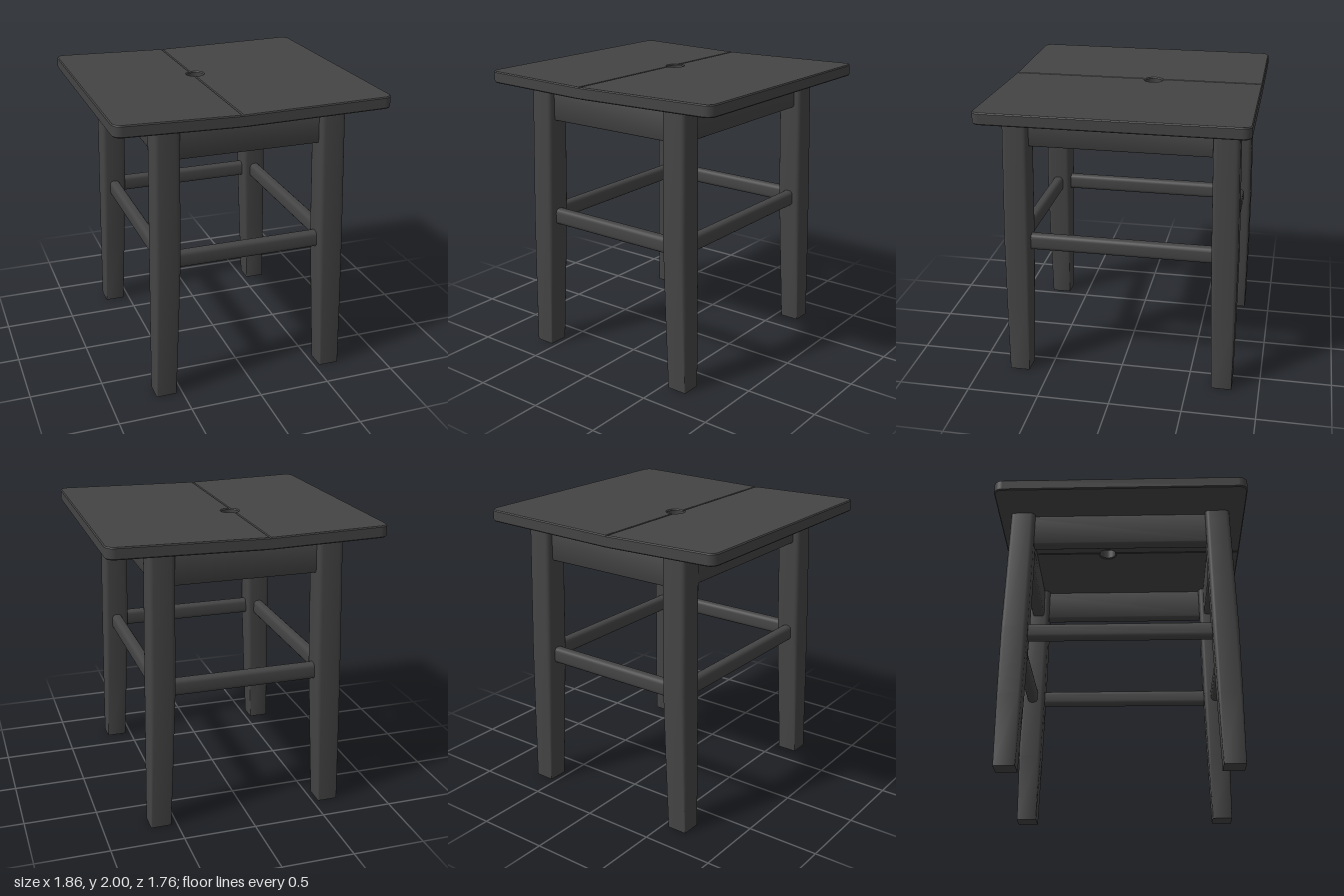
import * as THREE from 'three';
import { toCreasedNormals } from 'three/addons/utils/BufferGeometryUtils.js';

const material = new THREE.MeshStandardMaterial({ color: 0x444444 });
const FRAME_Z = -0.011; // the frame sits slightly behind the seat centre

// Loft rounded rectangles along y; each section is [y, x0, x1, z0, z1, radius].
function loft(sections) {
  const positions = [], index = [], steps = 4, n = 4 * (steps + 1);
  for (const [y, x0, x1, z0, z1, r] of sections) {
    const corners = [[x1 - r, z1 - r], [x0 + r, z1 - r], [x0 + r, z0 + r], [x1 - r, z0 + r]];
    corners.forEach(([cx, cz], k) => {
      for (let i = 0; i <= steps; i++) {
        const a = (k + i / steps) * Math.PI / 2;
        positions.push(cx + r * Math.cos(a), y, cz + r * Math.sin(a));
      }
    });
  }
  const last = (sections.length - 1) * n;
  for (let s = 0; s < last; s += n) {
    for (let j = 0; j < n; j++) {
      const a = s + j, b = s + (j + 1) % n;
      index.push(a, a + n, b, b, a + n, b + n);
    }
  }
  for (let j = 1; j < n - 1; j++) {
    index.push(0, j, j + 1, last, last + j + 1, last + j);
  }
  const geometry = new THREE.BufferGeometry();
  geometry.setAttribute('position', new THREE.Float32BufferAttribute(positions, 3));
  geometry.setIndex(index);
  return toCreasedNormals(geometry, 0.6);
}

function addMesh(parent, name, geometry) {
  const mesh = new THREE.Mesh(geometry, material);
  mesh.name = name;
  parent.add(mesh);
  return mesh;
}

// Half of the seat, side = -1 or 1, meeting the other half at the seam around the finger hole.
function seatHalf(side) {
  const seam = -0.11, holeX = -0.09, holeY = 0.12, holeR = 0.06;
  const X = 0.93, Z = 0.88, r = 0.06, bevel = 0.007, depth = 0.08, dip = 0.018;
  const a = Math.acos((seam - holeX) / holeR);
  const s = new THREE.Shape();
  // Walk up the seam on the left half, down it on the right half.
  s.moveTo(seam, side * Z);
  s.lineTo(seam, holeY + side * holeR * Math.sin(a));
  s.absarc(holeX, holeY, holeR, side * a, -side * a, true);
  s.lineTo(seam, -side * Z);
  s.lineTo(side * (X - r), -side * Z);
  const start = side > 0 ? -Math.PI / 2 : Math.PI / 2;
  s.absarc(side * (X - r), -side * (Z - r), r, start, start + Math.PI / 2, false);
  s.absarc(side * (X - r), side * (Z - r), r, start + Math.PI / 2, start + Math.PI, false);
  s.closePath();
  const geometry = new THREE.ExtrudeGeometry(s, {
    depth: depth - 2 * bevel, bevelThickness: bevel, bevelSize: bevel,
    bevelOffset: -bevel, bevelSegments: 1, curveSegments: 16,
  });
  geometry.rotateX(-Math.PI / 2).translate(0, 2 - depth + bevel, 0);
  // Slope the board gently down to the seam.
  const p = geometry.attributes.position;
  for (let i = 0; i < p.count; i++) {
    const t = (side * X - p.getX(i)) / (side * X - seam);
    p.setY(i, p.getY(i) - dip * t);
  }
  geometry.computeVertexNormals();
  return geometry;
}

// Leg, straight above the stretchers and tapered on its inner faces below.
function legGeometry(sx, sz) {
  const profile = [ // y, inner x, outer x, inner z, outer z, corner radius
    [0, 0.54, 0.683, 0.657, 0.8, 0.008],
    [0.5, 0.515, 0.676, 0.64, 0.804, 0.02],
    [1, 0.492, 0.668, 0.624, 0.804, 0.03],
    [1.93, 0.477, 0.65, 0.608, 0.78, 0.03],
  ];
  return loft(profile.map(([y, xi, xo, zi, zo, r]) => [
    y, Math.min(sx * xi, sx * xo), Math.max(sx * xi, sx * xo),
    Math.min(sz * zi, sz * zo), Math.max(sz * zi, sz * zo), r,
  ]));
}

// Horizontal rail along x, with rounded long edges.
function railGeometry(halfLength, height, thickness, radius) {
  const h = height / 2, t = thickness / 2;
  return loft([-halfLength, halfLength].map((y) => [y, -h, h, -t, t, radius])).rotateZ(Math.PI / 2);
}

export function createModel() {
  const model = new THREE.Group();
  model.name = 'stool';

  const seat = new THREE.Group();
  seat.name = 'seat';
  addMesh(seat, 'seatLeftBoard', seatHalf(1));
  addMesh(seat, 'seatRightBoard', seatHalf(-1));
  model.add(seat);

  const frame = new THREE.Group();
  frame.name = 'frame';
  frame.position.z = FRAME_Z;
  model.add(frame);

  for (const sx of [-1, 1]) {
    for (const sz of [-1, 1]) {
      addMesh(frame, `${sz > 0 ? 'front' : 'back'}${sx > 0 ? 'Left' : 'Right'}Leg`, legGeometry(sx, sz));
    }
  }

  // Aprons under the seat and stretchers at mid height, on all four sides.
  const rails = [
    { name: 'Apron', y: 1.8, x: 0.563, z: 0.694, height: 0.24, thickness: 0.09, radius: 0.02 },
    { name: 'Stretcher', y: 0.985, x: 0.58, z: 0.714, height: 0.115, thickness: 0.075, radius: 0.03 },
  ];
  for (const { name, y, x, z, height, thickness, radius } of rails) {
    for (const s of [-1, 1]) {
      const across = addMesh(frame, (s > 0 ? 'front' : 'back') + name, railGeometry(x, height, thickness, radius));
      across.position.set(0, y, s * z);
      const along = addMesh(frame, (s > 0 ? 'left' : 'right') + name, railGeometry(z, height, thickness, radius));
      along.position.set(s * x, y, 0);
      along.rotation.y = Math.PI / 2;
    }
  }
  return model;
}
